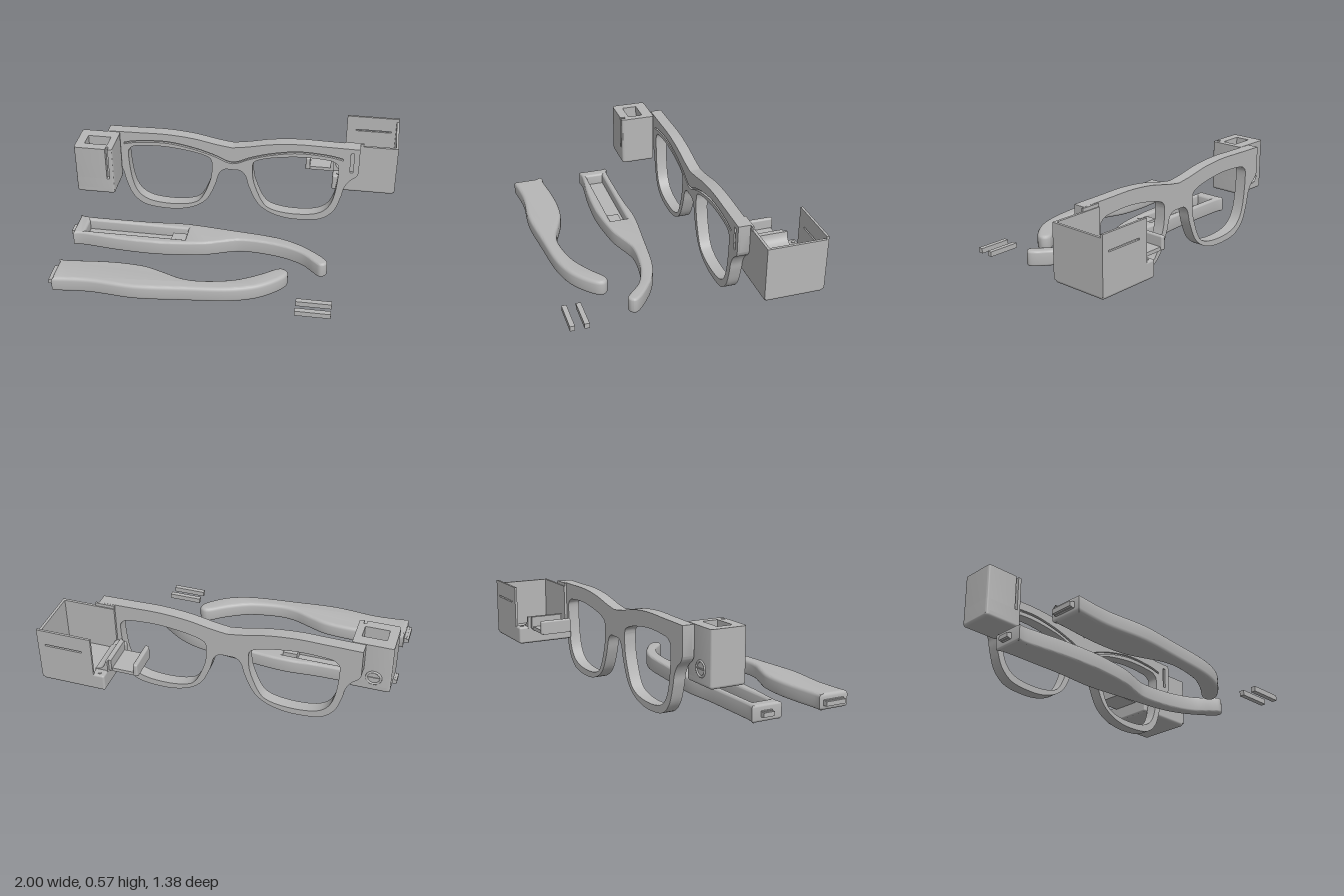
import * as THREE from 'three';
import { toCreasedNormals } from 'three/addons/utils/BufferGeometryUtils.js';
import { RoundedBoxGeometry } from 'three/addons/geometries/RoundedBoxGeometry.js';

const plastic = new THREE.MeshStandardMaterial({ color: 0xb6b6b6 });
plastic.name = 'grey plastic';

const V = (x, y) => new THREE.Vector2(x, y);
const curve = (pts, n) => new THREE.SplineCurve(pts.map(p => V(...p))).getPoints(n);
const mirror = pts => pts.map(p => [-p[0], p[1]]).reverse();
const rect = (x0, y0, x1, y1) => new THREE.Path([V(x0, y0), V(x1, y0), V(x1, y1), V(x0, y1)]);

function add(parent, name, geometry) {
  const mesh = new THREE.Mesh(geometry, plastic);
  mesh.name = name;
  parent.add(mesh);
  return mesh;
}

// Block given by its lowest and highest corners, optionally rounded
function block(parent, name, a, b, r = 0) {
  const s = b.map((v, i) => v - a[i]);
  const g = r ? new RoundedBoxGeometry(...s, 3, r) : new THREE.BoxGeometry(...s);
  add(parent, name, g).position.set(...a.map((v, i) => (v + b[i]) / 2));
}

// Extrusion along z from z0 to z1, with an optional rounded edge
function slab(shape, z0, z1, r = 0) {
  const g = new THREE.ExtrudeGeometry(shape, {
    depth: z1 - z0 - 2 * r, bevelEnabled: r > 0, bevelThickness: r, bevelSize: r,
    bevelOffset: -r, bevelSegments: 4, curveSegments: 8,
  });
  g.translate(0, 0, z0 + r);
  return toCreasedNormals(g, 0.6);
}

// Extrusion upwards; the shape is drawn in (x, -z)
const upright = (shape, y0, y1, r) => slab(shape, y0, y1, r).rotateX(-Math.PI / 2);

// Front frame, drawn around its own centre line
function buildFrame() {
  const g = new THREE.Group();
  g.name = 'frontFrame';
  const top = [[0, 0.505], [0.1, 0.52], [0.25, 0.55], [0.42, 0.565], [0.6, 0.563], [0.8, 0.56]];
  const side = [[0.8, 0.39], [0.785, 0.36], [0.745, 0.325], [0.715, 0.27], [0.7, 0.2], [0.66, 0.09],
    [0.58, 0.02], [0.45, 0], [0.33, 0.008], [0.23, 0.045], [0.16, 0.11], [0.11, 0.22],
    [0.085, 0.305], [0.05, 0.34], [0, 0.342]];
  const lens = [[0.13, 0.38], [0.14, 0.26], [0.2, 0.11], [0.27, 0.058], [0.4, 0.04], [0.54, 0.055],
    [0.62, 0.11], [0.66, 0.22], [0.675, 0.4], [0.655, 0.45], [0.6, 0.468], [0.43, 0.475],
    [0.25, 0.452], [0.15, 0.42], [0.13, 0.38]];
  const groove = [[0.7, 0.485], [0.6, 0.505], [0.42, 0.513], [0.25, 0.485], [0.12, 0.445], [0, 0.4]];

  const outline = () => {
    const shape = new THREE.Shape([
      ...curve(top, 30), ...curve(side, 70),
      ...curve(mirror(side), 70).slice(1), ...curve(mirror(top), 30).slice(0, -1),
    ]);
    for (const pts of [lens, mirror(lens)]) shape.holes.push(new THREE.Path(curve(pts, 70).slice(0, -1)));
    return shape;
  };
  add(g, 'frameBack', slab(outline(), -0.333, -0.275));

  // Front layer with the brow groove and hinge slot cut into it
  const face = outline();
  const line = [...groove, ...mirror(groove).slice(1)];
  const upper = curve(line, 60);
  const lower = upper.map(p => V(p.x, p.y - 0.013)).reverse();
  face.holes.push(new THREE.Path([...upper, ...lower]), rect(0.745, 0.39, 0.765, 0.53));
  add(g, 'frameFace', slab(face, -0.275, -0.26));

  g.position.x = -0.04;
  return g;
}

// Small open case at the right end of the frame
function buildSmallCase() {
  const g = new THREE.Group();
  g.name = 'smallCase';
  const ring = slot => {
    const r = 0.018, x0 = -1, x1 = -0.757, y0 = 0.033, y1 = 0.255;
    const s = new THREE.Shape();
    s.moveTo(x0 + r, y0);
    if (slot) {
      s.lineTo(-0.802, y0); s.lineTo(-0.802, y0 + 0.03);
      s.lineTo(-0.785, y0 + 0.03); s.lineTo(-0.785, y0);
    }
    s.lineTo(x1 - r, y0); s.quadraticCurveTo(x1, y0, x1, y0 + r);
    s.lineTo(x1, y1 - r); s.quadraticCurveTo(x1, y1, x1 - r, y1);
    s.lineTo(x0 + r, y1); s.quadraticCurveTo(x0, y1, x0, y1 - r);
    s.lineTo(x0, y0 + r); s.quadraticCurveTo(x0, y0, x0 + r, y0);
    s.holes.push(rect(-0.945, 0.09, -0.80, 0.185));
    return s;
  };
  block(g, 'caseFloor', [-1, 0.235, -0.255], [-0.757, 0.29, -0.033], 0.018);
  add(g, 'caseLower', upright(ring(false), 0.255, 0.345));
  add(g, 'caseUpper', upright(ring(true), 0.345, 0.56));
  // Round port on the back
  add(g, 'portRim', new THREE.TorusGeometry(0.042, 0.007, 8, 28)).position.set(-0.9, 0.33, -0.255);
  block(g, 'portBar', [-0.94, 0.326, -0.259], [-0.86, 0.334, -0.25]);
  return g;
}

// Large open case with the cradle on its inner side
function buildLargeCase() {
  const g = new THREE.Group();
  g.name = 'largeCase';
  block(g, 'largeFloor', [0.6, 0.2, -0.693], [0.995, 0.25, -0.335], 0.02);
  block(g, 'outerWall', [0.979, 0.22, -0.691], [0.995, 0.54, -0.335]);
  block(g, 'frontWall', [0.66, 0.22, -0.351], [0.985, 0.54, -0.335]);
  block(g, 'frontLip', [0.66, 0.53, -0.345], [0.78, 0.56, -0.333]);
  const back = new THREE.Shape([V(0.66, 0.22), V(0.995, 0.22), V(0.995, 0.56), V(0.66, 0.56)]);
  back.holes.push(rect(0.72, 0.455, 0.95, 0.465));
  add(g, 'backWall', slab(back, -0.693, -0.679));

  // Ledge, saddle and pronged cradle
  block(g, 'ledge', [0.595, 0.205, -0.693], [0.672, 0.31, -0.335], 0.012);
  const saddle = new THREE.Shape();
  saddle.moveTo(0.595, 0.3);
  saddle.lineTo(0.672, 0.3);
  saddle.lineTo(0.672, 0.312);
  saddle.quadraticCurveTo(0.612, 0.315, 0.607, 0.375);
  saddle.lineTo(0.595, 0.375);
  add(g, 'saddle', slab(saddle, -0.635, -0.4));
  block(g, 'cradleBase', [0.417, 0.29, -0.605], [0.605, 0.312, -0.423]);
  block(g, 'cradleTip', [0.417, 0.29, -0.615], [0.445, 0.375, -0.415], 0.01);
  block(g, 'cradleStop', [0.578, 0.3, -0.615], [0.6, 0.375, -0.415]);
  for (const z of [-0.665, -0.365])
    add(g, 'ledgeScrew', new THREE.CylinderGeometry(0.011, 0.011, 0.006, 16)).position.set(0.632, 0.312, z);
  return g;
}

// Temple arms lying flat, outlines given as (x, z) around the arm from its square end
const armA = [[-0.97, 0.03], [-0.91, 0.043], [-0.7, 0.043], [-0.5, 0.04], [-0.28, 0.027], [0, 0.052],
  [0.27, 0.082], [0.42, 0.13], [0.54, 0.205], [0.61, 0.268], [0.615, 0.305], [0.58, 0.325], [0.54, 0.297],
  [0.46, 0.225], [0.34, 0.175], [0.2, 0.15], [0.08, 0.147], [0, 0.167], [-0.15, 0.217],
  [-0.35, 0.245], [-0.5, 0.252], [-0.7, 0.243], [-0.9, 0.222], [-0.97, 0.228]];
const armB = [[-0.97, 0.49], [-0.92, 0.495], [-0.75, 0.477], [-0.6, 0.47], [-0.45, 0.482], [-0.33, 0.522],
  [-0.22, 0.562], [-0.1, 0.57], [0.08, 0.535], [0.22, 0.465], [0.32, 0.395], [0.365, 0.387],
  [0.395, 0.415], [0.38, 0.465], [0.3, 0.54], [0.2, 0.597], [0.05, 0.638], [-0.2, 0.665],
  [-0.48, 0.69], [-0.75, 0.672], [-0.97, 0.69]];

function buildArm(name, pts, hollow, tab) {
  const g = new THREE.Group();
  g.name = name;
  const shape = new THREE.Shape(curve(pts.map(([x, z]) => [x, -z]), 120));
  if (hollow) {
    // Tray in the upper face, closed by a floor
    shape.holes.push(rect(-0.9, -0.195, -0.265, -0.08));
    block(g, 'trayFloor', [-0.92, 0.001, 0.064], [-0.25, 0.03, 0.211]);
    block(g, 'trayBlock', [-0.355, 0.02, 0.12], [-0.25, 0.085, 0.2]);
  }
  add(g, 'armBody', upright(shape, 0, 0.1, hollow ? 0.015 : 0.022));
  block(g, 'hingeTab', [-0.985, 0.03, tab[0]], [-0.95, 0.065, tab[1]]);
  block(g, 'hingeKnob', [-1, 0.033, tab[0]], [-0.985, 0.06, tab[1]]);
  return g;
}

export function createModel() {
  const model = new THREE.Group();
  model.name = 'glassesKit';
  model.add(
    buildFrame(), buildSmallCase(), buildLargeCase(),
    buildArm('hollowArm', armA, true, [0.09, 0.16]),
    buildArm('solidArm', armB, false, [0.52, 0.655]),
  );
  // Loose hinge pins
  for (const z of [0.59, 0.675]) block(model, 'hingePin', [0.46, 0, z - 0.015], [0.67, 0.032, z + 0.015]);
  return model;
}
